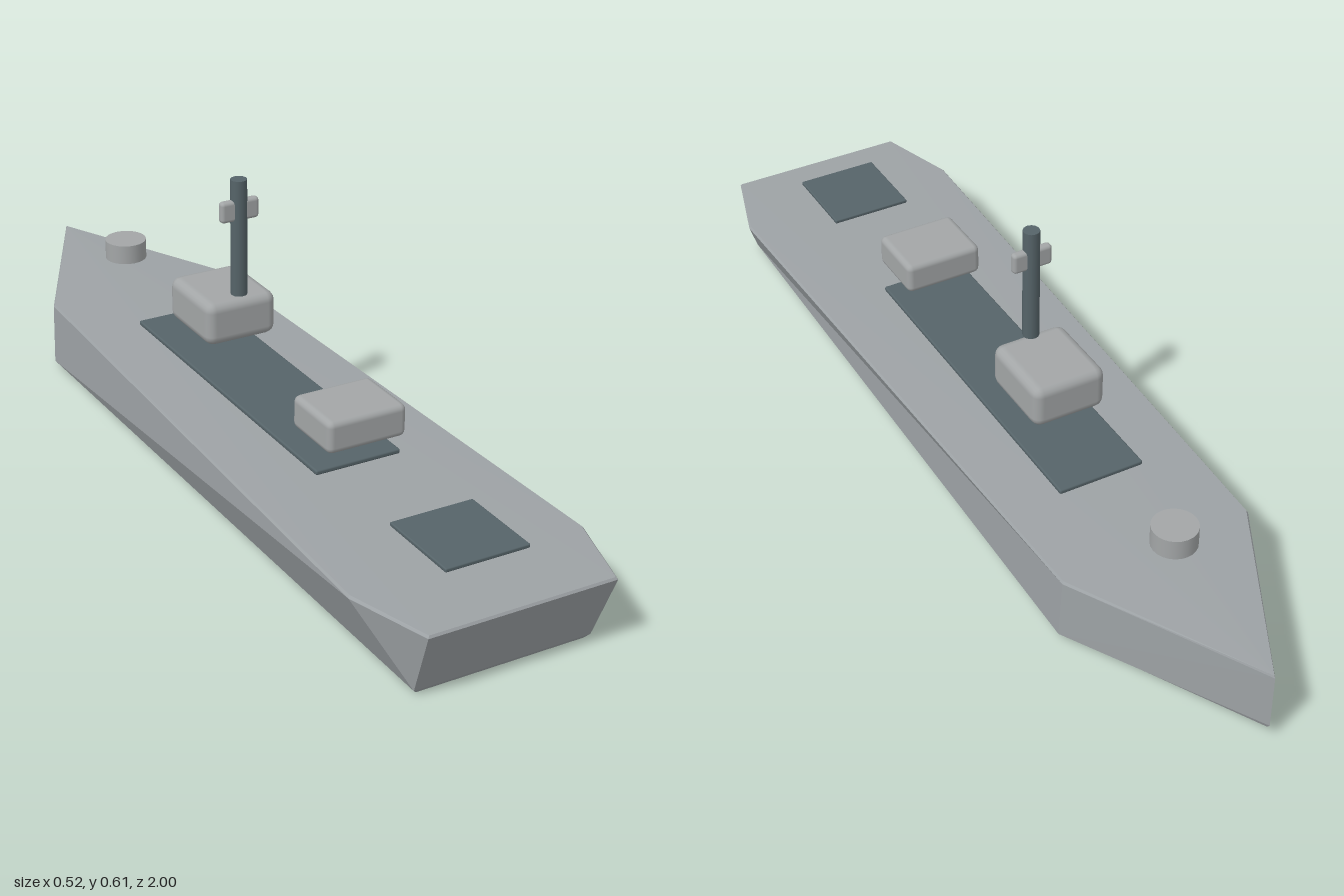
import * as THREE from 'three';
import { RoundedBoxGeometry } from 'three/addons/geometries/RoundedBoxGeometry.js';

const hullGrey = new THREE.MeshStandardMaterial({ color: 0x9da2a5 });
hullGrey.name = 'hullGrey';
const houseGrey = new THREE.MeshStandardMaterial({ color: 0xa3a6a7 });
houseGrey.name = 'houseGrey';
const darkSlate = new THREE.MeshStandardMaterial({ color: 0x566469 });
darkSlate.name = 'darkSlate';

// Half outline [x, y, z] from bow to stern, mirrored into a closed ring.
function ring(half, sx = 1, sz = 1, dy = 0) {
  const side = half.map(([x, y, z]) => [x * sx, y + dy, z * sz]);
  const mirrored = side.slice(1).reverse().map(([x, y, z]) => [-x, y, z]);
  return [...side, ...mirrored];
}

// Faceted hull: stacked rings closed by a keel plate and a deck.
function hullGeometry() {
  const deck = [[0, 0.166, -1], [0.215, 0.16, -0.59], [0.26, 0.16, 0.82], [0.205, 0.16, 1]];
  const keel = [[0, 0.033, -0.998], [0.219, 0.018, -0.585], [0.195, 0.01, 0.945], [0.195, 0.01, 0.945]];
  const rings = [
    ring(keel, 0.95, 0.992, -0.01),
    ring(keel),
    ring(deck, 1, 1, -0.005),
    ring(deck, 0.985, 0.997),
  ];
  const pos = [];
  const same = (a, b) => a.every((v, k) => v === b[k]);
  const tri = (a, b, c) => {
    if (!same(a, b) && !same(b, c) && !same(a, c)) pos.push(...a, ...b, ...c);
  };
  const n = rings[0].length;
  for (let r = 0; r < rings.length - 1; r++) {
    const lo = rings[r], hi = rings[r + 1];
    for (let i = 0; i < n; i++) {
      const j = (i + 1) % n;
      tri(lo[i], hi[i], lo[j]);
      tri(hi[i], hi[j], lo[j]);
    }
  }
  const top = rings[rings.length - 1], bottom = rings[0];
  for (let i = 1; i < n - 1; i++) {
    tri(top[0], top[i + 1], top[i]);
    tri(bottom[0], bottom[i], bottom[i + 1]);
  }
  const g = new THREE.BufferGeometry();
  g.setAttribute('position', new THREE.Float32BufferAttribute(pos, 3));
  g.computeVertexNormals();
  return g;
}

export function createModel() {
  const ship = new THREE.Group();
  ship.name = 'ship';

  const add = (name, geometry, material, x = 0, y = 0, z = 0) => {
    const mesh = new THREE.Mesh(geometry, material);
    mesh.name = name;
    mesh.position.set(x, y, z);
    ship.add(mesh);
  };
  const block = (name, material, w, [y0, y1], [z0, z1], radius) =>
    add(name, new RoundedBoxGeometry(w, y1 - y0, z1 - z0, 2, radius), material,
      0, (y0 + y1) / 2, (z0 + z1) / 2);

  add('hull', hullGeometry(), hullGrey);

  // Dark deck plates
  block('mainDeckPlate', darkSlate, 0.195, [0.169, 0.18], [-0.377, 0.423], 0.004);
  block('aftDeckPad', darkSlate, 0.186, [0.191, 0.2], [0.688, 0.88], 0.003);

  // Deckhouses
  block('bridge', houseGrey, 0.168, [0.238, 0.337], [-0.25, -0.062], 0.022);
  block('aftDeckhouse', houseGrey, 0.18, [0.226, 0.298], [0.31, 0.457], 0.014);

  // Mast with its crossing sensor box
  add('mast', new THREE.CylinderGeometry(0.018, 0.018, 0.262, 12), darkSlate, 0, 0.475, -0.08);
  block('mastSensor', houseGrey, 0.09, [0.514, 0.561], [-0.09, -0.07], 0.008);

  // Round mount on the foredeck
  add('foredeckMount', new THREE.CylinderGeometry(0.048, 0.048, 0.045, 24), houseGrey, 0, 0.238, -0.648);

  return ship;
}
